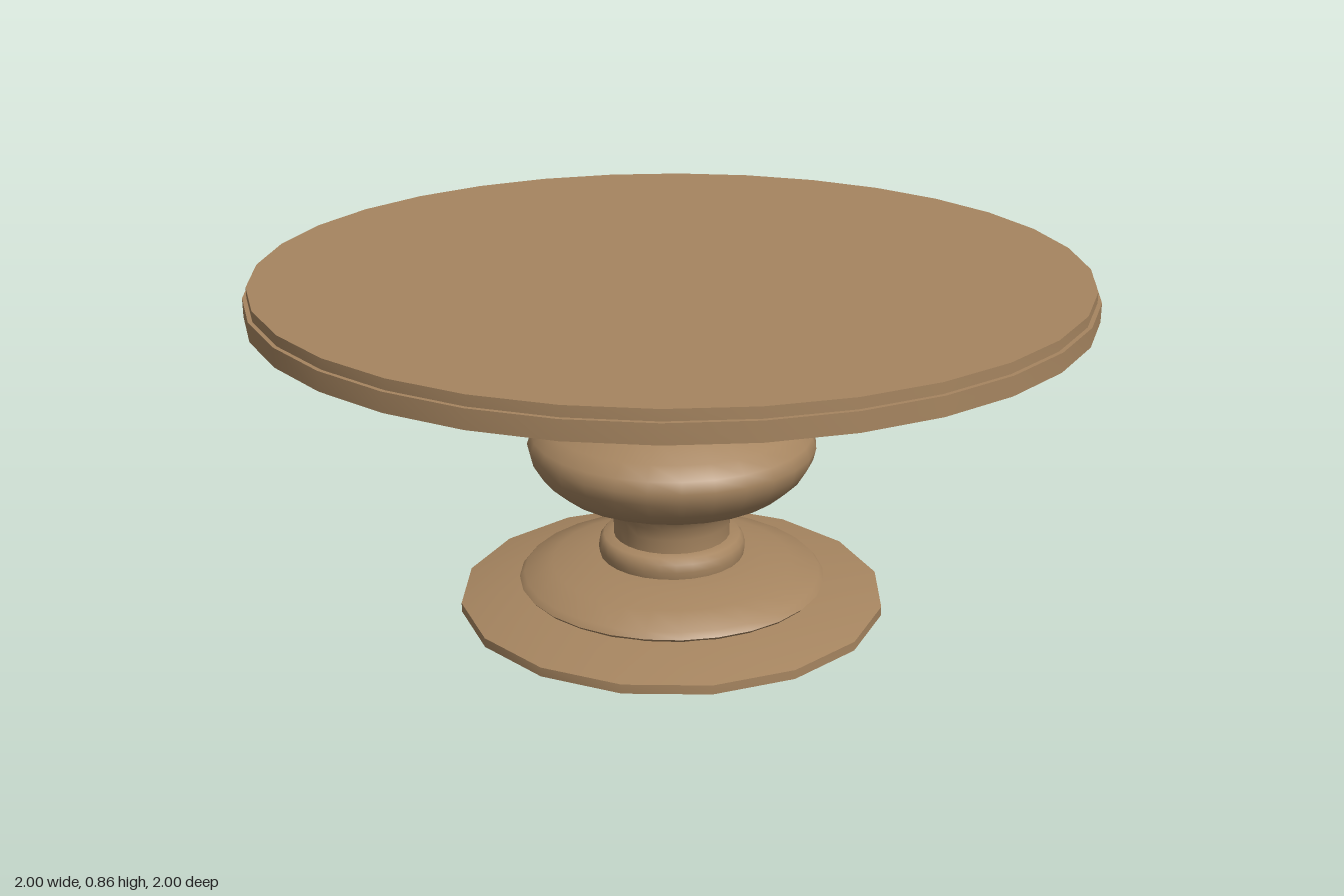
import * as THREE from 'three';
import { toCreasedNormals } from 'three/addons/utils/BufferGeometryUtils.js';

export function createModel() {
  const table = new THREE.Group();
  table.name = 'pedestalTable';

  const wood = new THREE.MeshStandardMaterial({ color: 0xa68560 });
  wood.name = 'wood';

  const add = (name, geometry) => {
    const mesh = new THREE.Mesh(geometry, wood);
    mesh.name = name;
    table.add(mesh);
    return mesh;
  };

  // Turned part: profile of [radius, y] from bottom to top
  const turned = (name, profile, sides, crease = 0.6) => {
    const points = profile.map(([r, y]) => new THREE.Vector2(r, y));
    return add(name, toCreasedNormals(new THREE.LatheGeometry(points, sides), crease));
  };

  // Round top with a small step near its upper edge
  turned('tableTop', [
    [0, 0.79], [1, 0.79], [1, 0.835], [0.99, 0.835], [0.99, 0.86], [0, 0.86],
  ], 32);

  // Crossed battens under the top
  const batten = (name, w, d) => {
    add(name, new THREE.BoxGeometry(w, 0.025, d)).position.y = 0.7775;
  };
  batten('battenAcross', 1.75, 0.32);
  batten('battenFrontHalf', 0.4, 1.71);

  // Foot plate with few sides
  turned('footPlate', [
    [0, 0], [0.53, 0], [0.53, 0.023], [0.375, 0.06], [0, 0.06],
  ], 16, 0.4);

  // Domed step on the foot
  turned('footDome', [
    [0.375, 0.058], [0.382, 0.066], [0.37, 0.08], [0.3, 0.102], [0.23, 0.117], [0.17, 0.123], [0, 0.123],
  ], 28);

  // Collar ring above the foot
  turned('collar', [
    [0.165, 0.12], [0.18, 0.127], [0.183, 0.145], [0.18, 0.165], [0.17, 0.177], [0.14, 0.18],
  ], 28, 0.9);

  // Lower neck flaring up to the bulb
  turned('lowerNeck', [
    [0.145, 0.17], [0.145, 0.215], [0.152, 0.245], [0.168, 0.275], [0.19, 0.297], [0.19, 0.305],
  ], 28);

  // Wide bulb
  turned('bulb', [
    [0, 0.3], [0.19, 0.3], [0.285, 0.317], [0.325, 0.352], [0.348, 0.39], [0.355, 0.42],
    [0.345, 0.448], [0.31, 0.475], [0.24, 0.508], [0.17, 0.533], [0.11, 0.547], [0, 0.547],
  ], 28, 0.8);

  // Upper neck with ring and flared cap
  turned('upperNeck', [
    [0.108, 0.54], [0.108, 0.572], [0.118, 0.587], [0.15, 0.603], [0.17, 0.622], [0.15, 0.637],
    [0.12, 0.652], [0.118, 0.67], [0.135, 0.7], [0.165, 0.727], [0.185, 0.745], [0.187, 0.768], [0, 0.768],
  ], 28, 0.9);

  return table;
}
